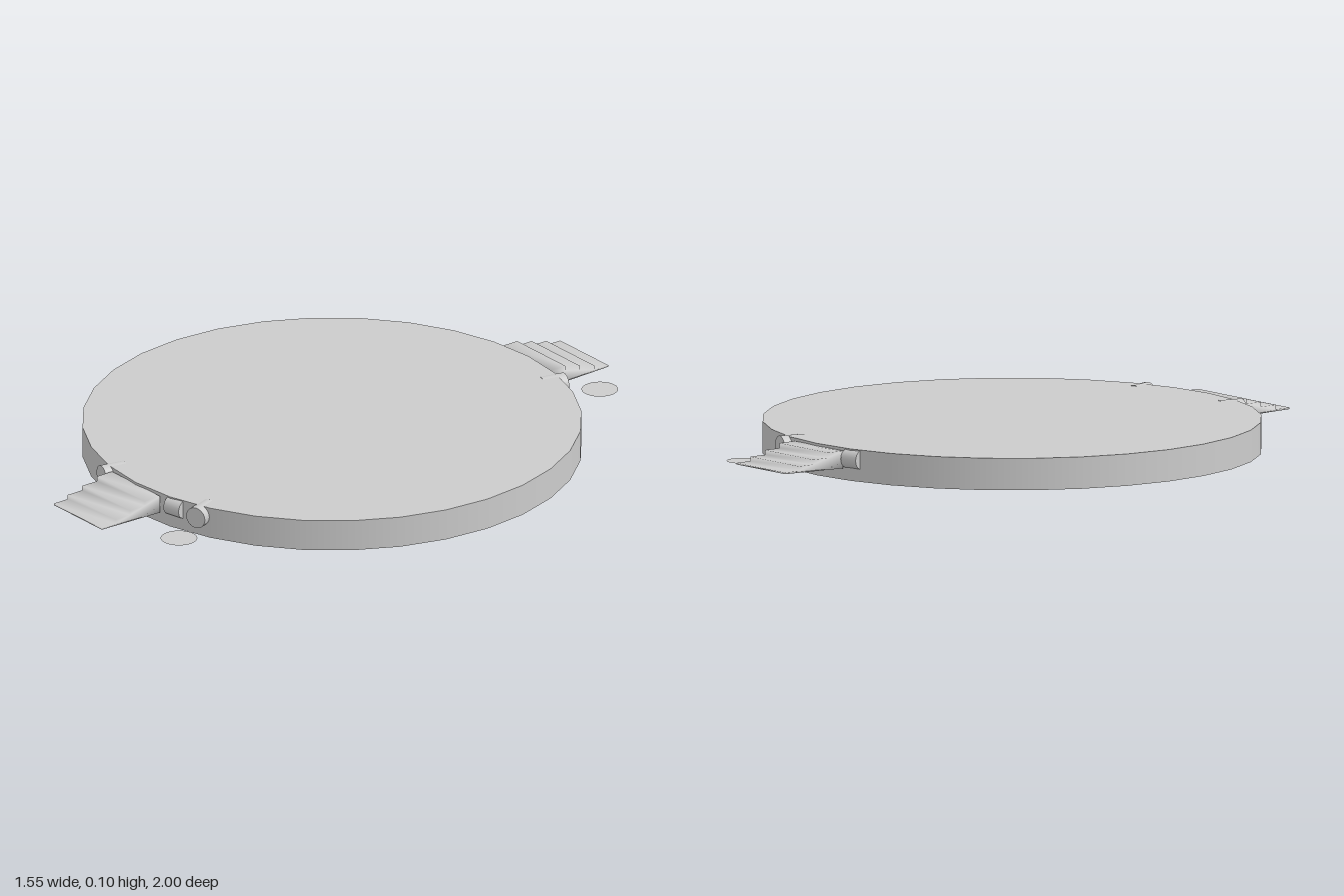
import * as THREE from 'three';
import { mergeVertices } from 'three/addons/utils/BufferGeometryUtils.js';

const R = 0.775, H = 0.1;

export function createModel() {
  const model = new THREE.Group();
  const material = new THREE.MeshStandardMaterial({ color: 0xcccccc, side: THREE.DoubleSide });

  const add = (name, geometry, parent = model) => {
    const mesh = new THREE.Mesh(geometry, material);
    mesh.name = name;
    parent.add(mesh);
    return mesh;
  };

  // Round platform: a thin wall and a top, open underneath
  add('platformWall', new THREE.CylinderGeometry(R, R, H, 32, 1, true)).position.y = H / 2;
  const top = add('platformTop', new THREE.CircleGeometry(R, 32));
  top.rotation.x = -Math.PI / 2;
  top.position.y = H;

  // Four-step stairs, outline drawn as (distance from centre, height)
  const stairGeometry = () => {
    const edges = [0.77, 0.83, 0.888, 0.945, 1];
    const heights = [0.092, 0.076, 0.061, 0.047];
    const outline = new THREE.Shape();
    outline.moveTo(edges[0], 0.037);
    heights.forEach((y, i) => {
      outline.lineTo(edges[i], y);
      outline.lineTo(edges[i + 1], y);
    });
    outline.lineTo(1, 0.042);
    const g = new THREE.ExtrudeGeometry(outline, { depth: 0.24, bevelEnabled: false });
    g.rotateY(-Math.PI / 2);
    g.translate(0.12, 0, 0);
    // shared corners give the soft shading of the steps
    g.deleteAttribute('normal');
    g.deleteAttribute('uv');
    const soft = mergeVertices(g);
    soft.computeVertexNormals();
    return soft;
  };
  const stairs = stairGeometry();
  add('frontStairs', stairs).position.x = -0.005;
  const backStairs = add('backStairs', stairs);
  backStairs.rotation.y = Math.PI;
  backStairs.position.x = -0.005;

  // Small drums set through the wall, pointing outward or lying along it
  const drum = (name, x, side, outward) => {
    const holder = new THREE.Group();
    holder.name = name;
    const angle = side > 0 ? Math.asin(x / R) : Math.PI - Math.asin(x / R);
    holder.rotation.y = angle;
    holder.position.y = 0.068;
    model.add(holder);
    const length = outward ? 0.08 : 0.06;
    const r = outward ? 0.034 : 0.03;
    const mesh = add(name + 'Body', new THREE.CylinderGeometry(r, r, length, 20), holder);
    if (outward) mesh.rotation.x = Math.PI / 2;
    else mesh.rotation.z = Math.PI / 2;
    mesh.position.z = outward ? R - 0.015 : R - 0.012;
  };
  drum('frontRightDrum', -0.155, 1, true);
  drum('frontInnerRoller', 0.17, 1, false);
  drum('frontLeftDrum', 0.262, 1, true);
  drum('backLeftDrum', 0.17, -1, true);
  drum('backRightRoller', -0.155, -1, false);

  // Flat round plates beside each stair
  [['frontPlate', 0.3, 0.035, 0.842], ['backPlate', 0.212, 0.03, -0.89]].forEach(([name, x, y, z]) => {
    const plate = add(name, new THREE.CircleGeometry(0.057, 32));
    plate.rotation.x = -Math.PI / 2;
    plate.position.set(x, y, z);
  });

  return model;
}
